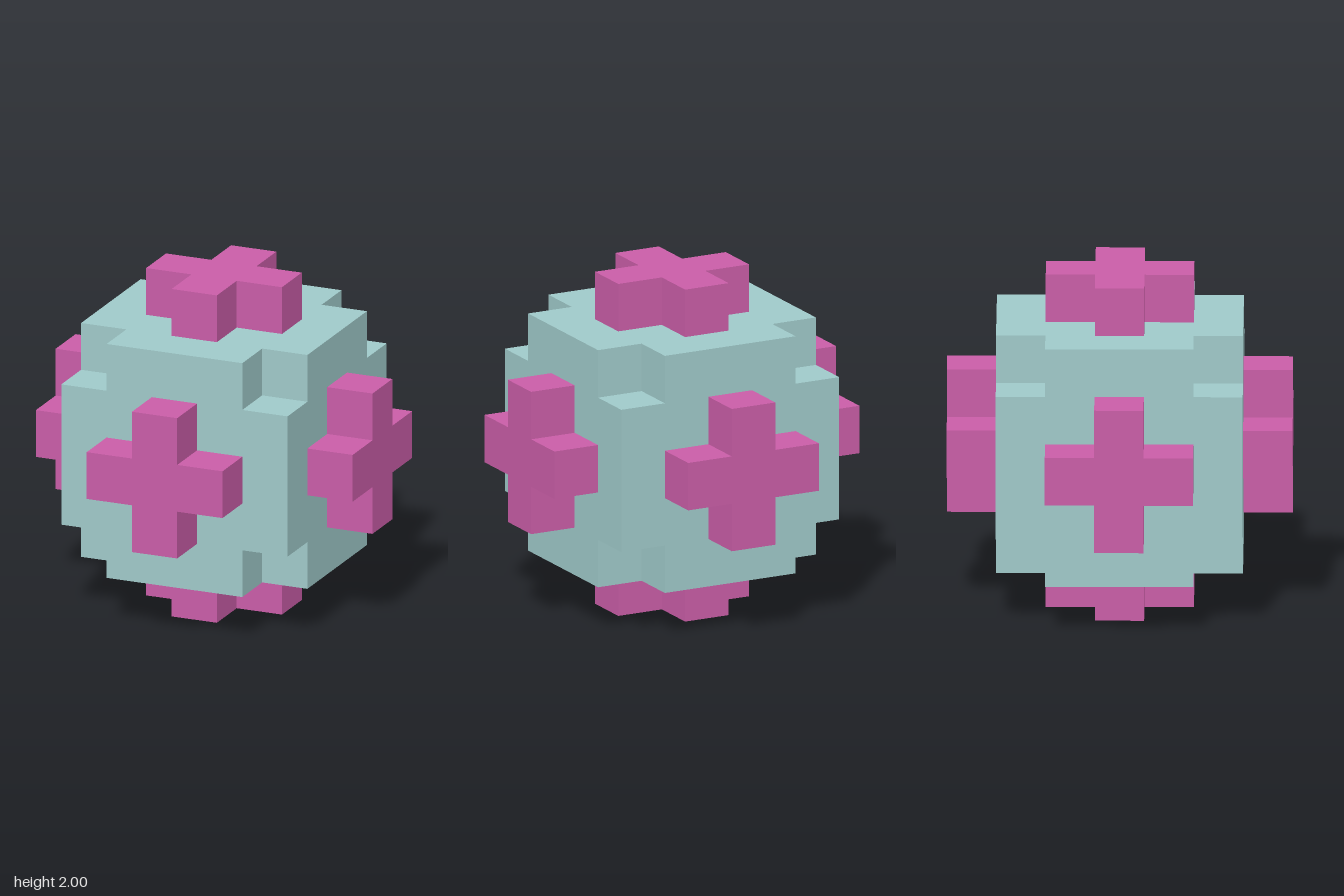
import * as THREE from 'three';
import { mergeGeometries } from 'three/addons/utils/BufferGeometryUtils.js';

const U = 2 / 7; // one block

// Plus outline: half-width of the whole and of its arms
function plusShape(outer, inner) {
  const a = outer, b = inner;
  return new THREE.Shape([
    [b, -a], [b, -b], [a, -b], [a, b], [b, b], [b, a],
    [-b, a], [-b, b], [-a, b], [-a, -b], [-b, -b], [-b, -a],
  ].map(([x, y]) => new THREE.Vector2(x, y)));
}

// One side of the body: a notched face plus the recessed corner squares
function bodySide() {
  const parts = [new THREE.ShapeGeometry(plusShape(2.5 * U, 1.5 * U)).translate(0, 0, 2.5 * U)];
  for (const x of [-2, 2]) for (const y of [-2, 2]) {
    parts.push(new THREE.PlaneGeometry(U, U).translate(x * U, y * U, 1.5 * U));
  }
  return mergeGeometries(parts);
}

export function createModel() {
  const teal = new THREE.MeshStandardMaterial({ color: 0x9fc9c9 });
  teal.name = 'paleTeal';
  const pink = new THREE.MeshStandardMaterial({ color: 0xc95da7 });
  pink.name = 'pink';

  const side = bodySide();
  const cross = new THREE.ExtrudeGeometry(plusShape(1.5 * U, 0.5 * U), { depth: U, bevelEnabled: false })
    .translate(0, 0, 2.5 * U);

  const model = new THREE.Group();
  model.name = 'notchedCube';

  // Turn the +z side towards each of the six directions
  const q = Math.PI / 2;
  const turns = {
    front: [0, 0], left: [0, q], back: [0, 2 * q], right: [0, -q], top: [-q, 0], bottom: [q, 0],
  };
  const bodyParts = [];
  for (const [name, [rx, ry]] of Object.entries(turns)) {
    bodyParts.push(side.clone().rotateX(rx).rotateY(ry));
    const mesh = new THREE.Mesh(cross.clone().rotateX(rx).rotateY(ry), pink);
    mesh.name = name + 'Cross';
    mesh.position.y = 1;
    model.add(mesh);
  }

  // Cube body with its eight corners cut out
  const body = new THREE.Mesh(mergeGeometries(bodyParts), teal);
  body.name = 'body';
  body.position.y = 1;
  model.add(body);
  return model;
}
